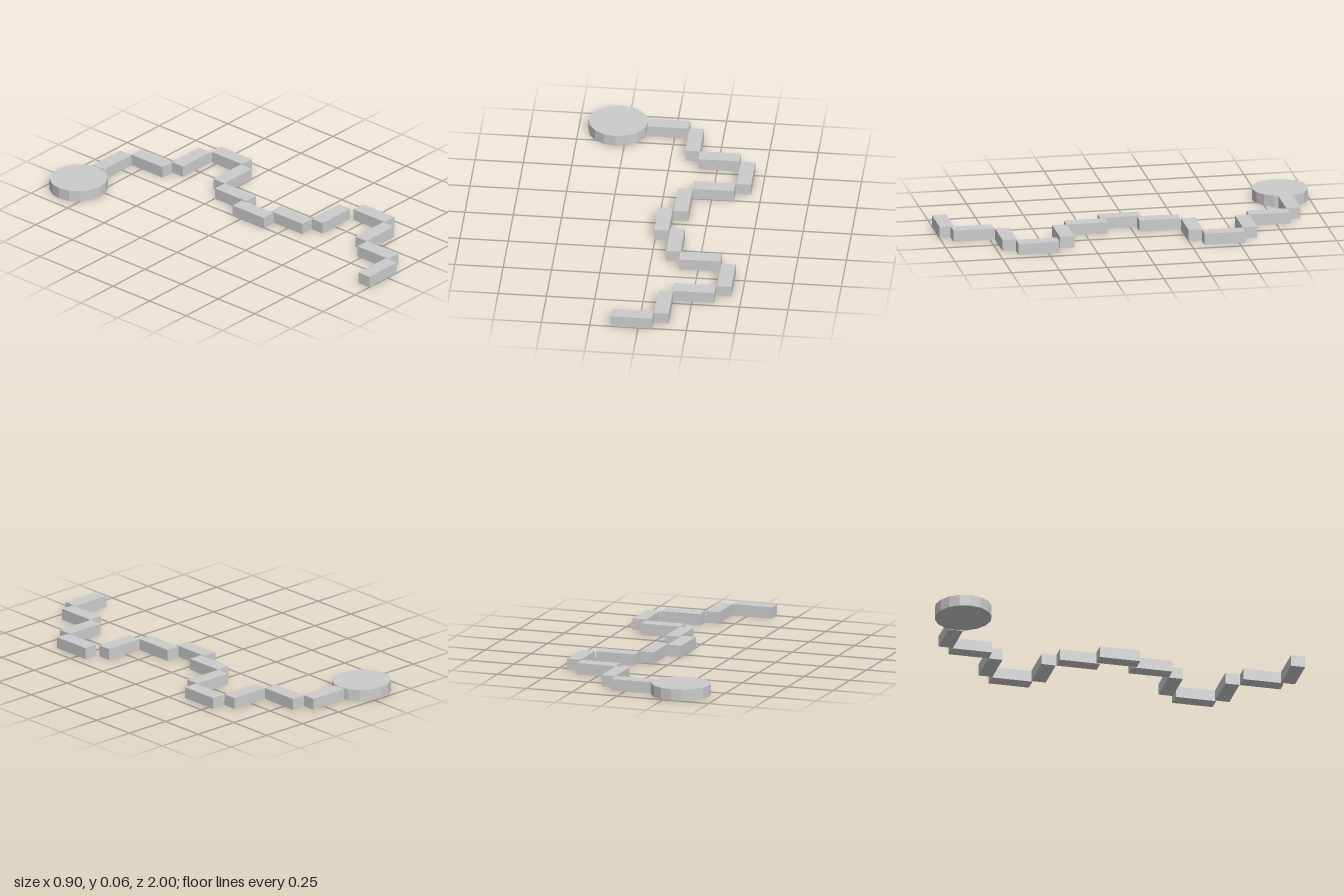
import * as THREE from 'three';

const HEIGHT = 0.06, WIDTH = 0.075, LENGTH = 0.214;

export function createModel() {
  const group = new THREE.Group();
  group.name = 'steppedPath';
  const material = new THREE.MeshStandardMaterial({ color: 0xcccccc, flatShading: true });

  const add = (name, geometry, x, z) => {
    const mesh = new THREE.Mesh(geometry, material);
    mesh.name = name;
    mesh.position.set(x, HEIGHT / 2, z);
    group.add(mesh);
    return mesh;
  };

  // Bars lying across (along x) and lengthwise (along z)
  const across = new THREE.BoxGeometry(LENGTH, HEIGHT, WIDTH);
  const lengthwise = new THREE.BoxGeometry(WIDTH, HEIGHT, LENGTH);

  // Bar centres [x, z], from the disc end to the free end
  const acrossBars = [[-0.033, -0.853], [0.259, -0.57], [0.259, -0.287], [0.259, 0.387], [0.259, 0.687], [-0.033, 0.9625]];
  const lengthwiseBars = [[0.115, -0.713], [0.41, -0.425], [0.115, -0.14], [0.033, 0.052], [0.115, 0.243], [0.41, 0.549], [0.115, 0.835]];
  acrossBars.forEach(([x, z], i) => add(`acrossBar${i + 1}`, across, x, z));
  lengthwiseBars.forEach(([x, z], i) => add(`lengthwiseBar${i + 1}`, lengthwise, x, z));

  // Slightly oval disc with sixteen sides at the back end
  const disc = add('endDisc', new THREE.CylinderGeometry(1, 1, HEIGHT, 16), -0.295, -0.853);
  disc.scale.set(0.154, 1, 0.147);

  return group;
}
